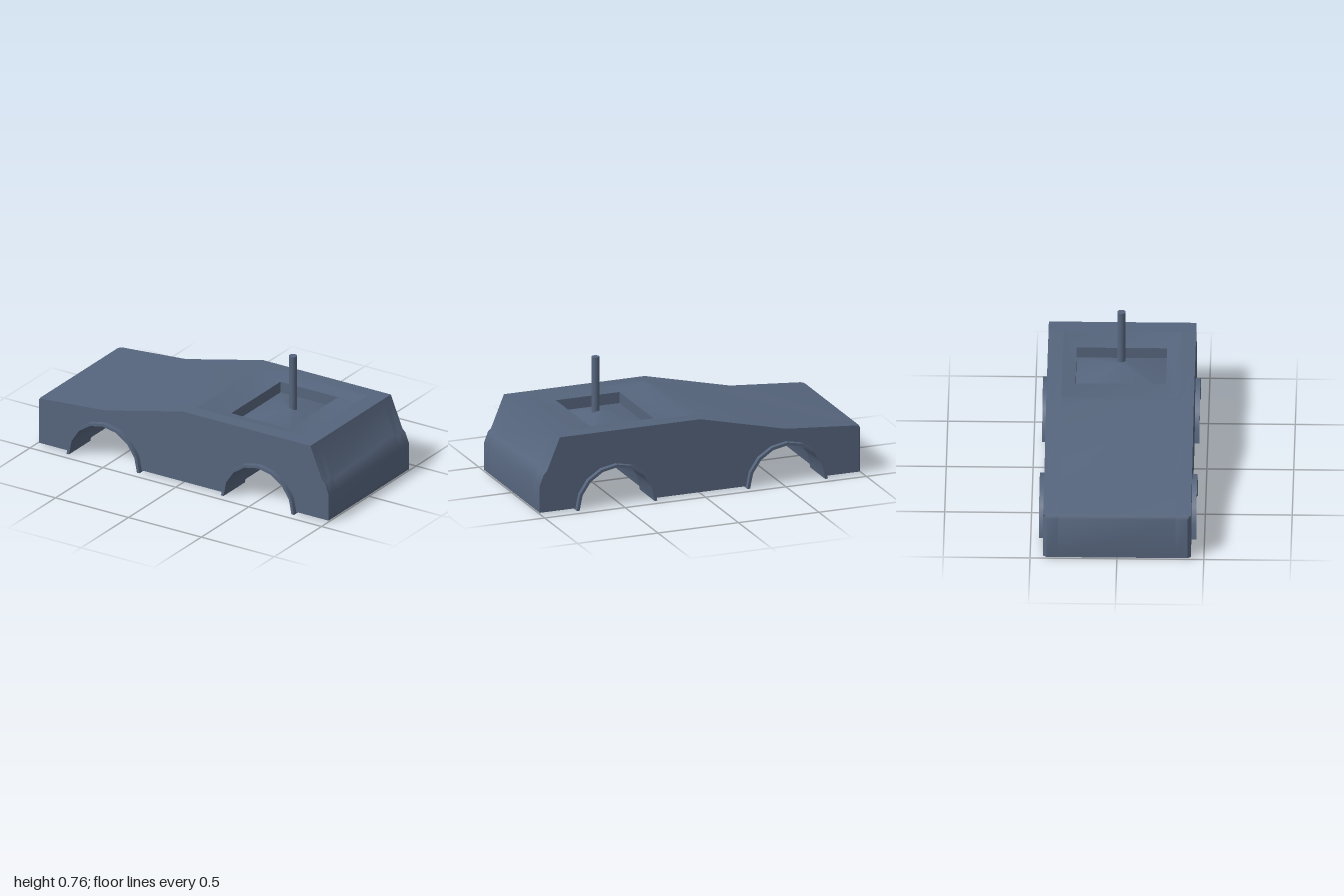
import * as THREE from 'three';
import { toCreasedNormals } from 'three/addons/utils/BufferGeometryUtils.js';

const paint = new THREE.MeshStandardMaterial({ color: 0x56657d, side: THREE.DoubleSide });
const ARCH_X = [-0.53, 0.53];
const HALF_WIDTH = 0.425;
const ROOF = 0.45;
const PIT = { x0: 0.04, x1: 0.77, z: 0.338 };

function part(name, geometry, parent) {
  const mesh = new THREE.Mesh(geometry, paint);
  mesh.name = name;
  parent.add(mesh);
  return mesh;
}

// Points along a faceted semicircle, from left to right
function arc(cx, r, y0 = 0) {
  const pts = [];
  for (let i = 0; i <= 8; i++) {
    const a = Math.PI * (1 - i / 8);
    pts.push([cx + r * Math.cos(a), Math.max(y0, r * Math.sin(a))]);
  }
  return pts;
}

function extrude(points, z0, z1) {
  const shape = new THREE.Shape(points.map(([x, y]) => new THREE.Vector2(x, y)));
  const g = new THREE.ExtrudeGeometry(shape, { depth: z1 - z0, bevelEnabled: false });
  return g.translate(0, 0, z0);
}

// Side profile with wheel tunnels, optionally notched for the cockpit
function profile(notched) {
  const notch = notched
    ? [[PIT.x1, ROOF], [PIT.x1, 0.34], [PIT.x0, 0.34], [PIT.x0, ROOF]] : [];
  return [
    [-1, 0.008], ...arc(ARCH_X[0], 0.245, 0.008), ...arc(ARCH_X[1], 0.245, 0.008),
    [1, 0.008], [1, 0.17], [0.975, 0.235], [0.955, 0.255], [0.875, ROOF],
    ...notch,
    [0, ROOF], [-0.53, 0.325], [-0.97, 0.29], [-0.99, 0.285], [-1, 0.265],
  ];
}

// Cockpit surface: sloping rim, upright walls and a raised floor, as rectangular rings
function cockpitGeometry() {
  const rings = [
    [PIT.x0, PIT.x1, PIT.z, ROOF],
    [0.225, 0.62, 0.26, 0.432],
    [0.225, 0.62, 0.26, 0.365],
    [0.43, 0.48, 0.02, 0.435],
  ];
  const pos = [], index = [];
  for (const [x0, x1, z, y] of rings) pos.push(x0, y, z, x1, y, z, x1, y, -z, x0, y, -z);
  for (let r = 0; r < rings.length - 1; r++) {
    for (let i = 0; i < 4; i++) {
      const a = r * 4 + i, b = r * 4 + (i + 1) % 4;
      index.push(a, b, b + 4, a, b + 4, a + 4);
    }
  }
  index.push(12, 13, 14, 12, 14, 15);
  const g = new THREE.BufferGeometry();
  g.setAttribute('position', new THREE.Float32BufferAttribute(pos, 3));
  g.setIndex(index);
  return toCreasedNormals(g, 0.6);
}

export function createModel() {
  const model = new THREE.Group();
  model.name = 'carBody';

  // Body shell in lengthwise slabs
  const body = new THREE.Group();
  body.name = 'body';
  model.add(body);
  part('bodyCentre', toCreasedNormals(extrude(profile(true), -PIT.z, PIT.z), 0.5), body);
  for (const s of [-1, 1]) {
    const slab = (a, b) => extrude(profile(false), Math.min(s * a, s * b), Math.max(s * a, s * b));
    part('bodySide', toCreasedNormals(slab(PIT.z, 0.405), 0.5), body);
    // Outer skin, with the nose corner trimmed
    const skin = slab(0.405, HALF_WIDTH);
    const p = skin.attributes.position;
    for (let i = 0; i < p.count; i++) {
      if (Math.abs(p.getZ(i)) > 0.42) p.setX(i, Math.max(p.getX(i), -0.985));
    }
    part('bodySkin', toCreasedNormals(skin, 0.5), body);
  }

  part('cockpit', cockpitGeometry(), model);

  // Thin wheel arch liners standing proud of the sides
  for (const x of ARCH_X) {
    const band = [...arc(x, 0.25), ...arc(x, 0.233).reverse()];
    for (const [z0, z1] of [[0.227, 0.453], [-0.453, -0.227]]) {
      part('wheelArch', toCreasedNormals(extrude(band, z0, z1), 0.5), model);
    }
  }

  // Upright post above the cockpit
  const post = part('post', new THREE.CylinderGeometry(0.024, 0.024, 0.34, 16), model);
  post.position.set(0.48, 0.59, 0);

  return model;
}
